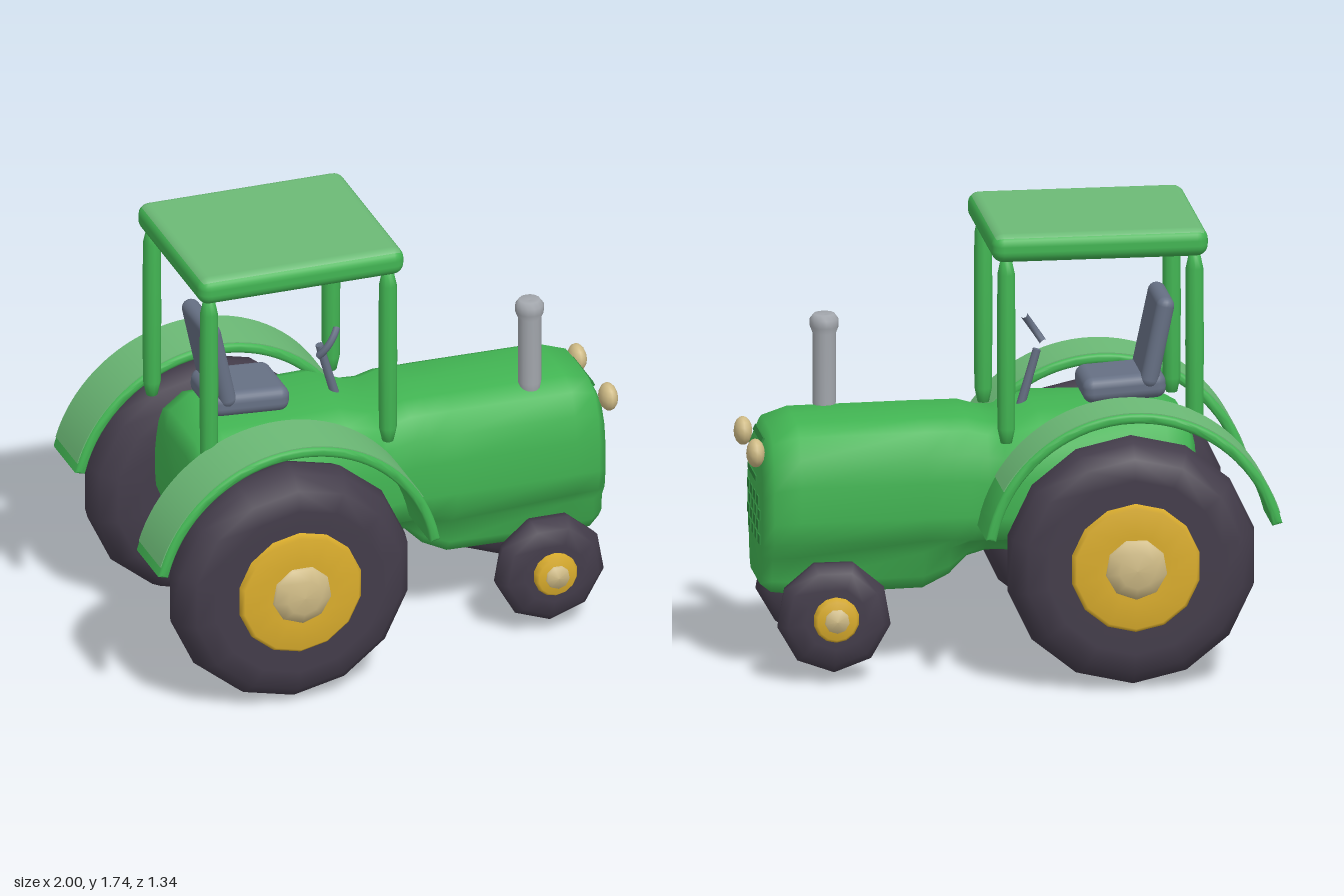
import * as THREE from 'three';
import { toCreasedNormals } from 'three/addons/utils/BufferGeometryUtils.js';
import { RoundedBoxGeometry } from 'three/addons/geometries/RoundedBoxGeometry.js';

const paint = (name, color) => {
  const m = new THREE.MeshStandardMaterial({ color });
  m.name = name;
  return m;
};
const green = paint('green', 0x42b553);
const paleGreen = paint('pale green', 0x6cba76);
const darkGreen = paint('dark green', 0x2f8a3e);
const tyreDark = paint('tyre', 0x433c4a);
const yellow = paint('yellow', 0xd9ac2c);
const cream = paint('cream', 0xcfbb86);
const steel = paint('steel', 0xa3a7ad);
const slate = paint('slate', 0x667084);

function add(parent, name, geometry, material, x = 0, y = 0, z = 0) {
  const mesh = new THREE.Mesh(geometry, material);
  mesh.name = name;
  mesh.position.set(x, y, z);
  parent.add(mesh);
  return mesh;
}

// Lathe from [radius, height] pairs, listed from bottom to top
const lathe = (pairs, sides) =>
  new THREE.LatheGeometry(pairs.map(([r, h]) => new THREE.Vector2(r, h)), sides);

// Body: cross-sections lofted along x, wide bonnet above a narrow chassis
function bodyGeometry() {
  // x, half width, top, ledge, chassis half width, bottom
  const stations = [
    [-0.72, 0.23, 0.88, 0.6, 0.14, 0.5],
    [-0.69, 0.29, 0.95, 0.55, 0.18, 0.46],
    [-0.6, 0.33, 1.0, 0.53, 0.2, 0.44],
    [-0.12, 0.33, 1.01, 0.53, 0.2, 0.44],
    [0.02, 0.3, 0.96, 0.53, 0.2, 0.46],
    [0.08, 0.28, 0.965, 0.53, 0.2, 0.46],
    [0.15, 0.28, 0.985, 0.53, 0.2, 0.44],
    [0.22, 0.28, 0.985, 0.53, 0.2, 0.37],
    [0.32, 0.28, 0.985, 0.53, 0.2, 0.32],
    [0.8, 0.28, 0.98, 0.53, 0.2, 0.31],
    [0.9, 0.255, 0.95, 0.52, 0.19, 0.32],
    [0.94, 0.21, 0.87, 0.51, 0.17, 0.35],
  ];
  const pos = [], index = [];
  let n = 0;
  for (const [x, w, top, mid, wb, low] of stations) {
    const h = top - mid, d = mid - low;
    const half = [
      [0.5 * w, top - 0.01 * h], [0.78 * w, top - 0.09 * h], [0.94 * w, top - 0.27 * h],
      [w, top - 0.5 * h], [w, mid + 0.2 * h], [0.95 * w, mid],
      [wb, mid - 0.3 * d], [0.95 * wb, low + 0.25 * d], [0.75 * wb, low],
    ];
    const ring = [[0, top], ...half, [0, low], ...half.map(([z, y]) => [-z, y]).reverse()];
    n = ring.length;
    for (const [z, y] of ring) pos.push(x, y, z);
  }
  const last = (stations.length - 1) * n, rear = pos.length / 3;
  pos.push(-0.725, 0.69, 0, 0.945, 0.62, 0);
  for (let j = 0; j < n; j++) {
    const k = (j + 1) % n;
    for (let a = 0; a < last; a += n) {
      index.push(a + j, a + k, a + n + j, a + n + j, a + k, a + n + k);
    }
    index.push(rear, k, j, rear + 1, last + j, last + k);
  }
  const g = new THREE.BufferGeometry();
  g.setAttribute('position', new THREE.Float32BufferAttribute(pos, 3));
  g.setIndex(index);
  g.computeVertexNormals();
  return g;
}

// Curved band in the xy plane, centred on z = 0
function arcBand(inner, outer, from, to, width, bevel) {
  const shape = new THREE.Shape();
  const a = THREE.MathUtils.degToRad(from), b = THREE.MathUtils.degToRad(to);
  shape.absarc(0, 0, outer - bevel, a, b, false);
  shape.absarc(0, 0, inner + bevel, b, a, true);
  const g = new THREE.ExtrudeGeometry(shape, {
    depth: width - 2 * bevel, curveSegments: 18, bevelEnabled: bevel > 0,
    bevelThickness: bevel, bevelSize: bevel, bevelSegments: 3,
  });
  g.translate(0, 0, bevel - width / 2);
  return toCreasedNormals(g, 0.8);
}

// Wheel with tyre, rim and hub cap; its outer side faces +z
function wheel(name, tyre, rim, cap, sides) {
  const group = new THREE.Group();
  group.name = name;
  const part = (label, pairs, material, n) =>
    add(group, label, lathe(pairs, n).rotateX(Math.PI / 2), material);
  part('tyre', tyre, tyreDark, sides);
  part('rim', rim, yellow, 14);
  part('hubCap', cap, cream, 9);
  return group;
}

export function createModel() {
  const model = new THREE.Group();
  model.name = 'tractor';
  add(model, 'body', bodyGeometry(), green);

  // Grille: staggered vents and two slats
  const grille = new THREE.Group();
  grille.name = 'grille';
  model.add(grille);
  for (let row = 0; row < 4; row++) {
    for (let i = 0; i < 4; i++) {
      const z = -0.14 + i * 0.085 + (row % 2) * 0.035;
      add(grille, 'vent', new THREE.BoxGeometry(0.008, 0.036, 0.05), darkGreen, 0.943, 0.53 + row * 0.048, z);
    }
  }
  add(grille, 'lowerSlat', new THREE.BoxGeometry(0.008, 0.022, 0.22), darkGreen, 0.943, 0.745, 0.05);
  add(grille, 'upperSlat', new THREE.BoxGeometry(0.008, 0.022, 0.22), darkGreen, 0.926, 0.905, 0)
    .rotation.z = 0.45;

  // Wheels, fenders, lamps and roof posts on both sides
  const rearTyre = [[0, -0.12], [0.28, -0.13], [0.4, -0.115], [0.46, -0.07], [0.485, 0],
    [0.47, 0.07], [0.42, 0.125], [0.34, 0.14], [0, 0.13]];
  const rearRim = [[0.25, 0.11], [0.25, 0.145], [0.235, 0.162], [0.13, 0.165], [0, 0.16]];
  const rearCap = [[0.125, 0.15], [0.115, 0.175], [0.07, 0.198], [0, 0.203]];
  const frontTyre = [[0, -0.07], [0.12, -0.073], [0.18, -0.055], [0.215, -0.02], [0.22, 0.02],
    [0.185, 0.06], [0.12, 0.075], [0, 0.07]];
  const frontRim = [[0.085, 0.05], [0.088, 0.085], [0.075, 0.105], [0, 0.11]];
  const frontCap = [[0.052, 0.09], [0.045, 0.118], [0, 0.125]];
  for (const side of [1, -1]) {
    const turn = side > 0 ? 0 : Math.PI;
    const rear = wheel('rearWheel', rearTyre, rearRim, rearCap, 14);
    rear.position.set(-0.435, 0.485, side * 0.465);
    rear.rotation.y = turn;
    const front = wheel('frontWheel', frontTyre, frontRim, frontCap, 9);
    front.position.set(0.68, 0.26, side * 0.29);
    front.rotation.y = turn;
    model.add(rear, front);

    add(model, 'fender', arcBand(0.54, 0.58, 11.5, 165.5, 0.265, 0.014), green, -0.435, 0.505, side * 0.467);
    add(model, 'fenderTop', arcBand(0.574, 0.583, 30, 163, 0.242, 0), paleGreen, -0.435, 0.505, side * 0.467);

    add(model, 'headlight', new THREE.SphereGeometry(0.055, 12, 8), cream, 0.963, 0.875, side * 0.175)
      .scale.x = 0.65;

    for (const [x, low] of [[-0.7, 0.93], [0.022, 0.915]]) {
      const h = 1.64 - low;
      const post = lathe([[0, 0], [0.022, 0.004], [0.034, 0.06], [0.036, h / 2],
        [0.034, h - 0.06], [0.022, h - 0.004], [0, h]], 10);
      add(model, 'roofPost', post, green, x, low, side * 0.32);
    }
  }

  // Roof with a paler top face
  add(model, 'roof', new RoundedBoxGeometry(0.83, 0.11, 0.74, 3, 0.045),
    [green, green, paleGreen, green, green, green], -0.335, 1.685, 0);

  // Exhaust with a flared mouth
  add(model, 'exhaust', lathe([[0.04, 0], [0.045, 0.03], [0.045, 0.3], [0.055, 0.325], [0.055, 0.355],
    [0.04, 0.375], [0, 0.37]], 14), steel, 0.655, 0.955, 0.15);

  // Seat
  add(model, 'seatBase', new RoundedBoxGeometry(0.32, 0.1, 0.28, 3, 0.04), slate, -0.46, 1.065, 0)
    .rotation.z = -0.06;
  add(model, 'seatBack', new RoundedBoxGeometry(0.07, 0.36, 0.3, 3, 0.034), slate, -0.585, 1.24, 0)
    .rotation.z = 0.21;

  // Steering column and open, partial steering wheel
  add(model, 'steeringColumn', new THREE.CylinderGeometry(0.016, 0.018, 0.25, 8), slate, -0.105, 1.08, 0)
    .rotation.z = 0.28;
  const rim = new THREE.TorusGeometry(0.115, 0.014, 8, 10, 1.2).rotateZ(-0.6).rotateY(-Math.PI / 2);
  add(model, 'steeringWheel', rim, slate, -0.14, 1.257, 0).rotation.z = -0.6;

  return model;
}
